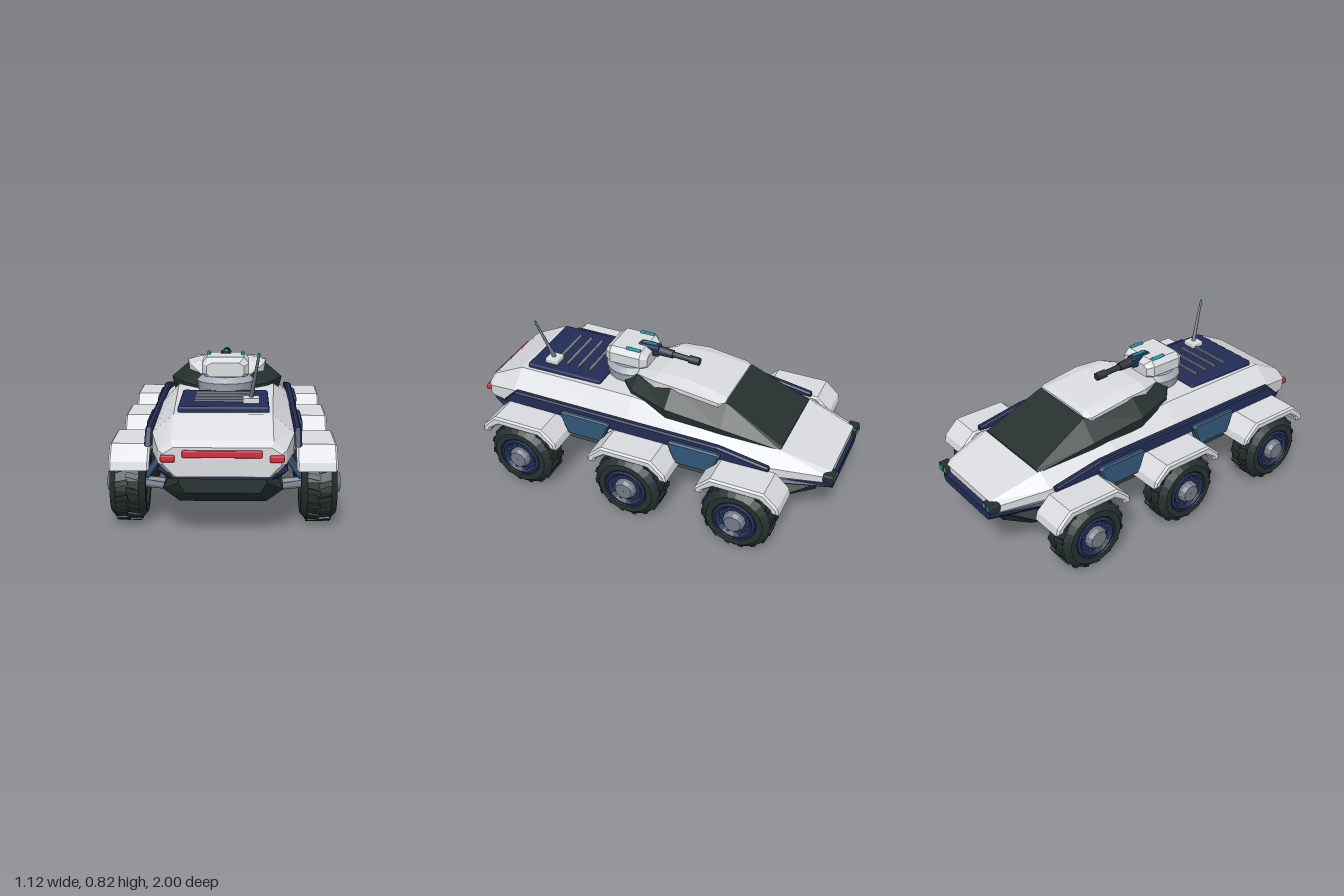
import * as THREE from 'three';
import { RoundedBoxGeometry } from 'three/addons/geometries/RoundedBoxGeometry.js';

const mat = (name, color) => {
  const m = new THREE.MeshStandardMaterial({ color });
  m.name = name;
  return m;
};

// Faceted symmetric body: sections run from +z to -z, each [z, [x, y]...] listing the +x half from top to bottom
function loft(sections) {
  const rings = sections.map(([z, ...half]) => [
    ...half.map(([x, y]) => [x, y, z]),
    ...half.slice().reverse().map(([x, y]) => [-x, y, z]),
  ]);
  const pos = [], n = rings[0].length, last = rings[rings.length - 1];
  const tri = (a, b, c) => pos.push(...a, ...b, ...c);
  for (let i = 0; i < rings.length - 1; i++) {
    for (let j = 0; j < n; j++) {
      const k = (j + 1) % n, p = rings[i], q = rings[i + 1];
      tri(p[j], p[k], q[k]);
      tri(p[j], q[k], q[j]);
    }
  }
  for (let k = 1; k < n - 1; k++) {
    tri(rings[0][0], rings[0][k + 1], rings[0][k]);
    tri(last[0], last[k], last[k + 1]);
  }
  const g = new THREE.BufferGeometry();
  g.setAttribute('position', new THREE.Float32BufferAttribute(pos, 3));
  g.computeVertexNormals();
  return g;
}

// Side profile of [z, y] points, extruded across x and centred on x = 0
function sidePlate(points, width, bevel) {
  const shape = new THREE.Shape(points.map(([z, y]) => new THREE.Vector2(z, y)));
  const depth = width - 2 * bevel;
  const g = new THREE.ExtrudeGeometry(shape, {
    depth, bevelEnabled: bevel > 0, bevelThickness: bevel, bevelSize: bevel, bevelOffset: -bevel, bevelSegments: 1,
  });
  return g.translate(0, 0, -depth / 2).rotateY(-Math.PI / 2);
}

export function createModel() {
  const white = mat('white armour', 0xd9dbdf), dark = mat('dark rubber and glass', 0x25312f);
  const navy = mat('navy trim', 0x222d55), blue = mat('steel blue', 0x315878);
  const gray = mat('gray metal', 0x747a86), pale = mat('pale metal', 0xa3abb6);
  const red = mat('red light', 0xd52a3c), cyan = mat('cyan light', 0x17a3b5), gun = mat('gun metal', 0x2b313d);

  const model = new THREE.Group();
  model.name = 'sixWheeledVehicle';
  const add = (name, geo, material, x = 0, y = 0, z = 0, parent = model) => {
    const m = new THREE.Mesh(geo, material);
    m.name = name;
    m.position.set(x, y, z);
    parent.add(m);
    return m;
  };
  const box = (name, w, h, d, material, x, y, z, r = 0.006, parent = model) =>
    add(name, new RoundedBoxGeometry(w, h, d, 1, r), material, x, y, z, parent);
  const rod = (name, a, b, r0, r1, material, parent = model) => {
    const from = new THREE.Vector3(...a), to = new THREE.Vector3(...b), dir = to.clone().sub(from);
    const m = add(name, new THREE.CylinderGeometry(r1, r0, dir.length(), 8), material, 0, 0, 0, parent);
    m.position.copy(from).add(to).multiplyScalar(0.5);
    m.quaternion.setFromUnitVectors(new THREE.Vector3(0, 1, 0), dir.normalize());
    return m;
  };

  // Hull, lower tray and belly
  add('hull', loft([
    [0.98, [0.22, 0.44], [0.265, 0.41], [0.265, 0.36], [0.21, 0.305]],
    [0.95, [0.23, 0.465], [0.29, 0.42], [0.29, 0.36], [0.23, 0.295]],
    [0.78, [0.23, 0.55], [0.33, 0.46], [0.33, 0.37], [0.26, 0.29]],
    [0.1, [0.25, 0.565], [0.345, 0.46], [0.345, 0.36], [0.28, 0.29]],
    [-0.3, [0.25, 0.525], [0.345, 0.45], [0.345, 0.36], [0.28, 0.29]],
    [-0.7, [0.24, 0.47], [0.325, 0.41], [0.325, 0.36], [0.28, 0.3]],
    [-0.97, [0.2, 0.39], [0.235, 0.375], [0.235, 0.34], [0.2, 0.31]],
  ]), white);
  add('lowerTray', loft([
    [0.965, [0.24, 0.32], [0.25, 0.31], [0.22, 0.29]],
    [0.88, [0.29, 0.335], [0.3, 0.31], [0.25, 0.27]],
    [-0.7, [0.3, 0.335], [0.315, 0.315], [0.27, 0.275]],
    [-0.985, [0.22, 0.335], [0.22, 0.31], [0.2, 0.29]],
  ]), navy);
  add('belly', loft([
    [0.93, [0.2, 0.285], [0.2, 0.26], [0.17, 0.215]],
    [0.84, [0.24, 0.285], [0.28, 0.21], [0.2, 0.15]],
    [-0.74, [0.24, 0.285], [0.28, 0.21], [0.2, 0.15]],
    [-0.89, [0.2, 0.295], [0.2, 0.275], [0.17, 0.225]],
  ]), dark);
  box('noseBumper', 0.4, 0.03, 0.02, navy, 0, 0.345, -0.978);

  // Canopy and roof plate
  add('canopy', loft([
    [0.2, [0.1, 0.59], [0.14, 0.575], [0.14, 0.53]],
    [0.12, [0.14, 0.625], [0.225, 0.58], [0.23, 0.53]],
    [-0.1, [0.2, 0.66], [0.3, 0.575], [0.285, 0.51]],
    [-0.4, [0.19, 0.63], [0.28, 0.53], [0.27, 0.48]],
    [-0.71, [0.22, 0.475], [0.24, 0.465], [0.235, 0.44]],
  ]), dark);
  add('roofPlate', loft([
    [0.13, [0.1, 0.64], [0.13, 0.625], [0.13, 0.6]],
    [0, [0.14, 0.678], [0.2, 0.66], [0.2, 0.62]],
    [-0.14, [0.14, 0.682], [0.215, 0.662], [0.215, 0.62]],
    [-0.36, [0.16, 0.654], [0.213, 0.632], [0.213, 0.6]],
    [-0.39, [0.16, 0.642], [0.19, 0.628], [0.19, 0.6]],
  ]), white);

  // Engine deck with louvres and antenna
  box('engineDeck', 0.43, 0.03, 0.44, navy, 0, 0.561, 0.53, 0.01);
  for (const z of [0.41, 0.48, 0.548, 0.615]) box('louvre', 0.29, 0.016, 0.014, gray, 0, 0.58, z, 0.004);
  box('antennaBase', 0.08, 0.028, 0.075, white, 0.13, 0.588, 0.63);
  rod('antenna', [0.13, 0.6, 0.63], [0.163, 0.805, 0.705], 0.011, 0.006, gray);
  rod('antennaTip', [0.162, 0.8, 0.703], [0.165, 0.823, 0.711], 0.007, 0.006, cyan);

  // Turret
  const turret = new THREE.Group();
  turret.name = 'turret';
  turret.position.set(0, 0, 0.21);
  model.add(turret);
  add('turretRing', new THREE.CylinderGeometry(0.12, 0.15, 0.03, 20), pale, 0, 0.625, 0, turret);
  add('turretBase', new THREE.CylinderGeometry(0.15, 0.14, 0.05, 20), pale, 0, 0.587, 0, turret);
  add('turretHead', loft([
    [0.12, [0.07, 0.715], [0.095, 0.7], [0.095, 0.66], [0.08, 0.645]],
    [0.085, [0.095, 0.74], [0.12, 0.71], [0.12, 0.655], [0.1, 0.64]],
    [-0.085, [0.095, 0.74], [0.12, 0.71], [0.12, 0.655], [0.1, 0.64]],
    [-0.12, [0.07, 0.715], [0.095, 0.7], [0.095, 0.66], [0.08, 0.645]],
  ]), white, 0, 0, 0, turret);
  for (const x of [-0.088, 0.088]) box('turretLamp', 0.018, 0.018, 0.085, cyan, x, 0.74, -0.04, 0.005, turret);
  box('gunMount', 0.055, 0.06, 0.12, navy, 0, 0.714, -0.095, 0.01, turret);
  box('gunSight', 0.022, 0.01, 0.085, cyan, 0, 0.745, -0.095, 0.003, turret);
  rod('gunSleeve', [0, 0.715, -0.14], [0, 0.71, -0.23], 0.027, 0.022, gun, turret);
  rod('gunBarrel', [0, 0.71, -0.22], [0, 0.705, -0.34], 0.016, 0.014, gun, turret);
  rod('muzzle', [0, 0.706, -0.32], [0, 0.704, -0.38], 0.021, 0.021, gun, turret);

  // Tail and nose lights
  box('tailLightBar', 0.36, 0.032, 0.03, red, 0, 0.412, 0.985);
  for (const s of [-1, 1]) {
    box('tailLight', 0.066, 0.03, 0.035, red, s * 0.245, 0.39, 0.98);
    box('noseLightHousing', 0.075, 0.045, 0.055, dark, s * 0.212, 0.368, -0.965);
    box('noseLight', 0.028, 0.026, 0.012, cyan, s * 0.222, 0.37, -0.992, 0.003);
    box('noseMarker', 0.016, 0.022, 0.012, pale, s * 0.187, 0.37, -0.992, 0.003);
  }

  // Side trim and panels between the wheels
  const stripeGeo = sidePlate([[0.83, 0.405], [0.75, 0.48], [-0.42, 0.48], [-0.69, 0.435], [-0.69, 0.41], [-0.5, 0.405]], 0.035, 0.008);
  const panelGeo = sidePlate([[0.145, 0.435], [0.13, 0.45], [-0.13, 0.45], [-0.145, 0.435], [-0.1, 0.32], [0.1, 0.32]], 0.045, 0.008);
  const fenderGeo = sidePlate([
    [-0.225, 0.3], [-0.215, 0.34], [-0.14, 0.41], [0.14, 0.41], [0.215, 0.34], [0.225, 0.3],
    [0.185, 0.3], [0.175, 0.325], [0.12, 0.365], [-0.12, 0.365], [-0.175, 0.325], [-0.185, 0.3],
  ], 0.19, 0.01);

  // Wheel geometry, turned around the x axis with its outer side at +x
  const turn = (pts, n) => {
    const g = new THREE.LatheGeometry(pts.map(([r, x]) => new THREE.Vector2(r, x)), n).rotateZ(-Math.PI / 2).toNonIndexed();
    g.computeVertexNormals();
    return g;
  };
  const tyreGeo = turn([[0.001, -0.07], [0.1, -0.07], [0.115, -0.085], [0.15, -0.085], [0.182, -0.055],
    [0.182, 0.055], [0.15, 0.085], [0.118, 0.085], [0.11, 0.065], [0.001, 0.065]], 24);
  const rimGeo = turn([[0.001, 0.06], [0.112, 0.06], [0.112, 0.082], [0.098, 0.088], [0.08, 0.072], [0.001, 0.072]], 20);
  const hubGeo = turn([[0.06, 0.07], [0.058, 0.09], [0.045, 0.108], [0.001, 0.108]], 12);
  const lugGeo = new THREE.BoxGeometry(0.062, 0.014, 0.026);
  const boltGeo = new THREE.CylinderGeometry(0.008, 0.008, 0.02, 6).rotateZ(-Math.PI / 2);

  for (const s of [-1, 1]) {
    add('sideStripe', stripeGeo, navy, s * 0.348);
    for (const z of [0.325, -0.295]) add('sidePanel', panelGeo, blue, s * 0.364, 0, z);
    for (const z of [0.645, 0.015, -0.585]) {
      add('fender', fenderGeo, white, s * 0.435, 0, z);
      const wheel = new THREE.Group();
      wheel.name = 'wheel';
      wheel.position.set(s * 0.45, 0.19, z);
      if (s < 0) wheel.rotation.y = Math.PI;
      model.add(wheel);
      add('tyre', tyreGeo, dark, 0, 0, 0, wheel);
      add('rim', rimGeo, navy, 0, 0, 0, wheel);
      add('hubCap', hubGeo, gray, 0, 0, 0, wheel);
      for (let i = 0; i < 32; i++) {
        const a = i * Math.PI / 16, side = i % 2 ? 1 : -1;
        const lug = add('treadLug', lugGeo, dark, side * 0.026, Math.cos(a) * 0.182, Math.sin(a) * 0.182, wheel);
        lug.rotation.set(a, side * 0.25, 0);
      }
      for (let i = 0; i < 8; i++) {
        const a = (i + 0.5) * Math.PI / 4;
        add('wheelBolt', boltGeo, blue, 0.072, Math.cos(a) * 0.077, Math.sin(a) * 0.077, wheel);
      }
      // Suspension
      for (const d of [-1, 1]) {
        rod('suspensionArm', [s * 0.2, 0.175, z + d * 0.07], [s * 0.39, 0.185, z + d * 0.02], 0.014, 0.018, gray);
        rod('shockStrut', [s * 0.37, 0.22, z + d * 0.04], [s * 0.29, 0.34, z + d * 0.06], 0.012, 0.014, blue);
      }
      rod('axle', [s * 0.2, 0.18, z], [s * 0.385, 0.19, z], 0.018, 0.026, gray);
    }
  }
  return model;
}
